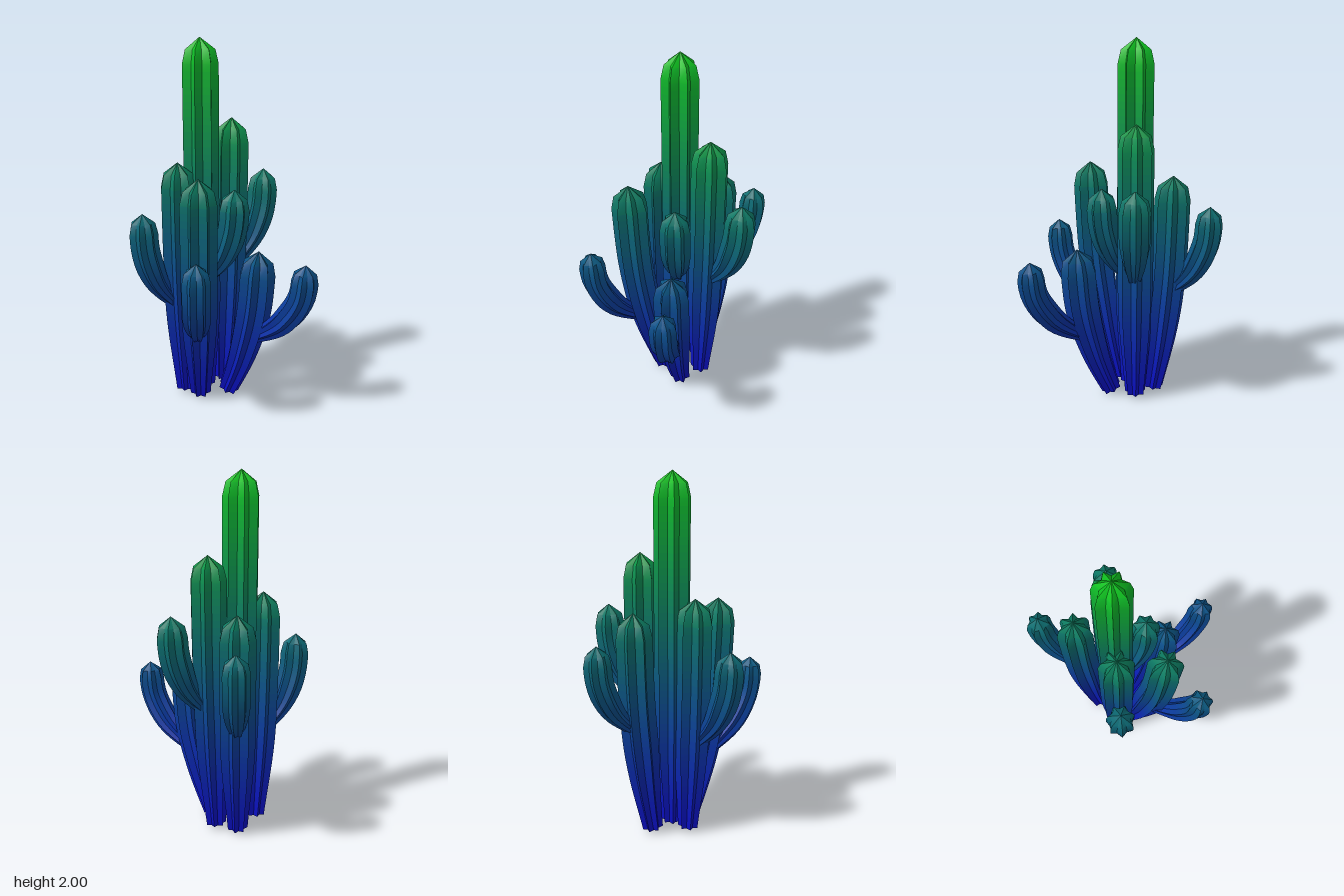
import * as THREE from 'three';
import { toCreasedNormals } from 'three/addons/utils/BufferGeometryUtils.js';

const RIBS = 7;
const SIDES = RIBS * 2;
const BANDS = 50;

// Colour bands, blue at the ground to green at the top
function makePalette() {
  return Array.from({ length: BANDS }, (_, i) => {
    const t = Math.pow((i + 0.5) / BANDS, 1.1);
    const color = new THREE.Color().setRGB(
      0.04 + 0.02 * t, 0.05 + 0.73 * t, 0.78 - 0.66 * t, THREE.SRGBColorSpace);
    return new THREE.MeshStandardMaterial({ color });
  });
}

// A path that leans outward at its foot and straightens up toward its tip
function risingCurve(foot, tip, bend) {
  const points = [0, 0.15, 0.3, 0.6, 1].map(t => {
    const out = 1 - Math.pow(1 - t, bend);
    return new THREE.Vector3(
      THREE.MathUtils.lerp(foot[0], tip[0], out),
      THREE.MathUtils.lerp(foot[1], tip[1], t),
      THREE.MathUtils.lerp(foot[2], tip[2], out));
  });
  return new THREE.CatmullRomCurve3(points);
}

// A ribbed column with a star cross-section swept along a curve to a pointed tip
function ribbedColumn({ curve, radius, base, grow, valley, twist }) {
  const length = curve.getLength();
  const bodyEnd = length - radius * 1.35;
  const steps = Math.ceil(bodyEnd / 0.04);

  // Distance along the curve and rib radius of every ring
  const rings = [];
  for (let i = 0; i <= steps; i++) {
    const s = (bodyEnd * i) / steps;
    const g = THREE.MathUtils.smoothstep(s, -grow * 0.35, grow);
    rings.push([s, radius * (base + (1 - base) * g)]);
  }
  rings.push([length - radius * 0.62, radius * 0.83], [length, 0.001]);

  const positions = [];
  const index = [];
  const heights = [];
  const up = new THREE.Vector3(0, 1, 0);
  const turn = new THREE.Quaternion();
  for (const [s, r] of rings) {
    const u = Math.min(1, s / length);
    const centre = curve.getPointAt(u);
    turn.setFromUnitVectors(up, curve.getTangentAt(u));
    heights.push(centre.y);
    for (let j = 0; j < SIDES; j++) {
      const a = twist + (j / SIDES) * Math.PI * 2;
      const rr = j % 2 ? r * valley : r;
      const p = new THREE.Vector3(Math.cos(a) * rr, 0, Math.sin(a) * rr);
      p.applyQuaternion(turn).add(centre);
      positions.push(p.x, p.y, p.z);
    }
  }

  // Walls, one colour band per ring
  const geometry = new THREE.BufferGeometry();
  const band = y => THREE.MathUtils.clamp(Math.floor((y / 2) * BANDS), 0, BANDS - 1);
  for (let i = 0; i < rings.length - 1; i++) {
    geometry.addGroup(index.length, SIDES * 6, band((heights[i] + heights[i + 1]) / 2));
    for (let j = 0; j < SIDES; j++) {
      const a = i * SIDES + j;
      const b = i * SIDES + ((j + 1) % SIDES);
      index.push(a, a + SIDES, b, b, a + SIDES, b + SIDES);
    }
  }

  // Flat underside
  const hub = positions.length / 3;
  positions.push(...curve.getPoint(0).toArray());
  geometry.addGroup(index.length, SIDES * 3, band(heights[0]));
  for (let j = 0; j < SIDES; j++) index.push(hub, j, (j + 1) % SIDES);

  geometry.setAttribute('position', new THREE.Float32BufferAttribute(positions, 3));
  geometry.setIndex(index);
  return toCreasedNormals(geometry, 0.6);
}

export function createModel() {
  const cactus = new THREE.Group();
  cactus.name = 'cactus';
  const palette = makePalette();

  const addColumn = (name, spec) => {
    const mesh = new THREE.Mesh(ribbedColumn(spec), palette);
    mesh.name = name;
    cactus.add(mesh);
  };

  // A stem rising from the ground with one side arm
  const addPlant = (name, twist, foot, tip, armFoot, armTip, armRadius) => {
    addColumn(`${name}Stem`, {
      curve: risingCurve(foot, tip, 2), radius: 0.1, base: 0.5, grow: 0.6, valley: 0.68, twist });
    addColumn(`${name}Arm`, {
      curve: risingCurve(armFoot, armTip, 2.8), radius: armRadius, base: 0.35, grow: 0.32, valley: 0.76, twist });
  };

  addPlant('tall', 0.2, [-0.05, 0.02, -0.01], [-0.07, 2, -0.03], [-0.05, 0.68, 0], [0.095, 1.21, 0.11], 0.085);
  addPlant('left', 0.5, [0.075, 0.02, -0.08], [0.115, 1.57, -0.095], [0.15, 0.74, -0.1], [0.315, 1.265, -0.16], 0.085);
  addPlant('right', 0.1, [-0.165, 0.02, 0.01], [-0.2, 1.35, 0.015], [-0.23, 0.56, 0.025], [-0.4, 1.09, 0.08], 0.08);
  addPlant('front', 0.35, [-0.09, 0.02, 0.08], [-0.125, 1.31, 0.265], [-0.125, 0.42, 0.21], [-0.17, 0.935, 0.49], 0.075);
  addPlant('back', 0.6, [-0.04, 0.02, -0.15], [-0.02, 1.285, -0.26], [-0.02, 0.64, -0.26], [0.015, 1.14, -0.475], 0.075);
  addPlant('short', 0.25, [0.075, 0.02, 0.065], [0.21, 0.89, 0.21], [0.19, 0.38, 0.18], [0.42, 0.86, 0.39], 0.075);
  return cactus;
}
